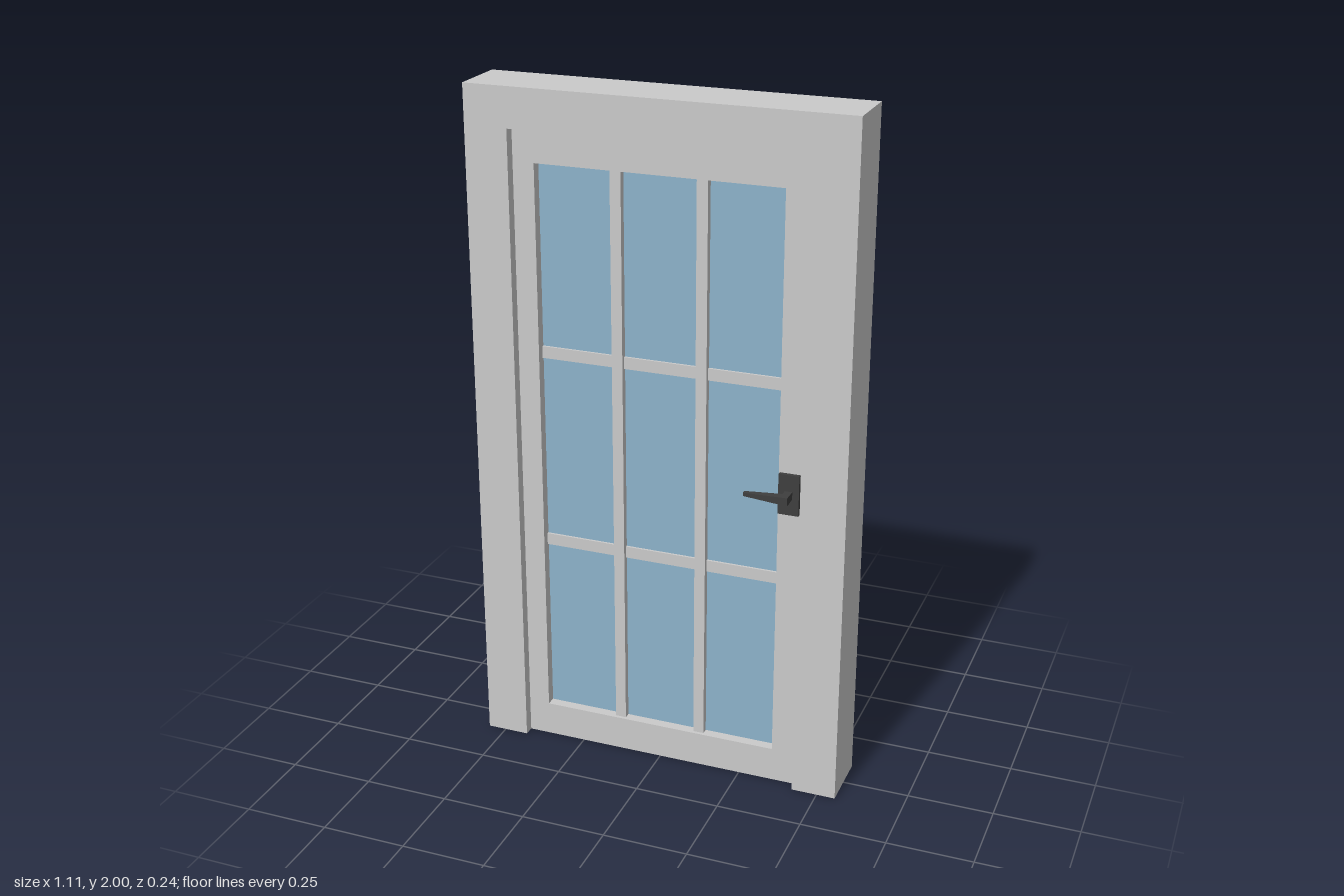
import * as THREE from 'three';

const paint = new THREE.MeshStandardMaterial({ color: 0xcacaca });
paint.name = 'light grey paint';
const glass = new THREE.MeshStandardMaterial({ color: 0x8db3ca });
glass.name = 'blue glass';
const metal = new THREE.MeshStandardMaterial({ color: 0x3e3e3e });
metal.name = 'dark metal';

function add(parent, name, geometry, material) {
  const mesh = new THREE.Mesh(geometry, material);
  mesh.name = name;
  parent.add(mesh);
  return mesh;
}

// box given by its limits in x and y, centred on z = 0
function slab(x0, x1, y0, y1, depth) {
  return new THREE.BoxGeometry(x1 - x0, y1 - y0, depth)
    .translate((x0 + x1) / 2, (y0 + y1) / 2, 0);
}

// outline extruded evenly about z = 0
function extrude(points, depth, hole) {
  const toVectors = (list) => list.map(([x, y]) => new THREE.Vector2(x, y));
  const shape = new THREE.Shape(toVectors(points));
  if (hole) shape.holes.push(new THREE.Path(toVectors(hole)));
  return new THREE.ExtrudeGeometry(shape, { depth, bevelEnabled: false })
    .translate(0, 0, -depth / 2);
}

// handle set for the front side, centred on y = 0
function makeHandle() {
  const handle = new THREE.Group();
  add(handle, 'handlePlate', new THREE.BoxGeometry(0.06, 0.12, 0.012), metal)
    .position.set(0.384, 0, 0.066);
  add(handle, 'handleNeck', new THREE.BoxGeometry(0.022, 0.022, 0.04), metal)
    .position.set(0.384, 0, 0.086);
  // lever tapers towards its free end
  const lever = new THREE.BoxGeometry(0.13, 0.024, 0.028);
  const p = lever.attributes.position;
  for (let i = 0; i < p.count; i++) {
    if (p.getX(i) < 0) p.setXYZ(i, p.getX(i), p.getY(i) * 0.42, p.getZ(i) * 0.45);
  }
  lever.computeVertexNormals();
  add(handle, 'handleLever', lever, metal).position.set(0.33, 0, 0.104);
  return handle;
}

export function createModel() {
  const door = new THREE.Group();
  door.name = 'door';

  // surrounding frame, open at the bottom
  add(door, 'doorFrame', extrude([
    [-0.555, 0], [-0.428, 0], [-0.428, 1.885], [0.424, 1.885],
    [0.424, 0], [0.555, 0], [0.555, 2], [-0.555, 2],
  ], 0.182), paint);

  // door leaf with the window opening
  const L = -0.365, R = 0.351, B = 0.103, T = 1.789;
  add(door, 'doorLeaf', extrude(
    [[-0.428, 0], [0.424, 0], [0.424, 1.885], [-0.428, 1.885]], 0.12,
    [[L, B], [L, T], [R, T], [R, B]],
  ), paint);
  add(door, 'glassPane', slab(L, R, B, T, 0.06), glass);

  // glazing bars: uprights stand further out than the crossbars
  for (const x of [-0.131, 0.118]) {
    add(door, 'uprightBar', slab(x - 0.016, x + 0.016, B, T, 0.1), paint);
  }
  for (const y of [0.652, 1.238]) {
    add(door, 'crossBar', slab(L, R, y - 0.0175, y + 0.0175, 0.074), paint);
  }

  // handles on both sides
  ['frontHandle', 'backHandle'].forEach((name, i) => {
    const handle = makeHandle();
    handle.name = name;
    handle.position.y = 0.93;
    handle.rotation.x = i * Math.PI;
    door.add(handle);
  });

  return door;
}
